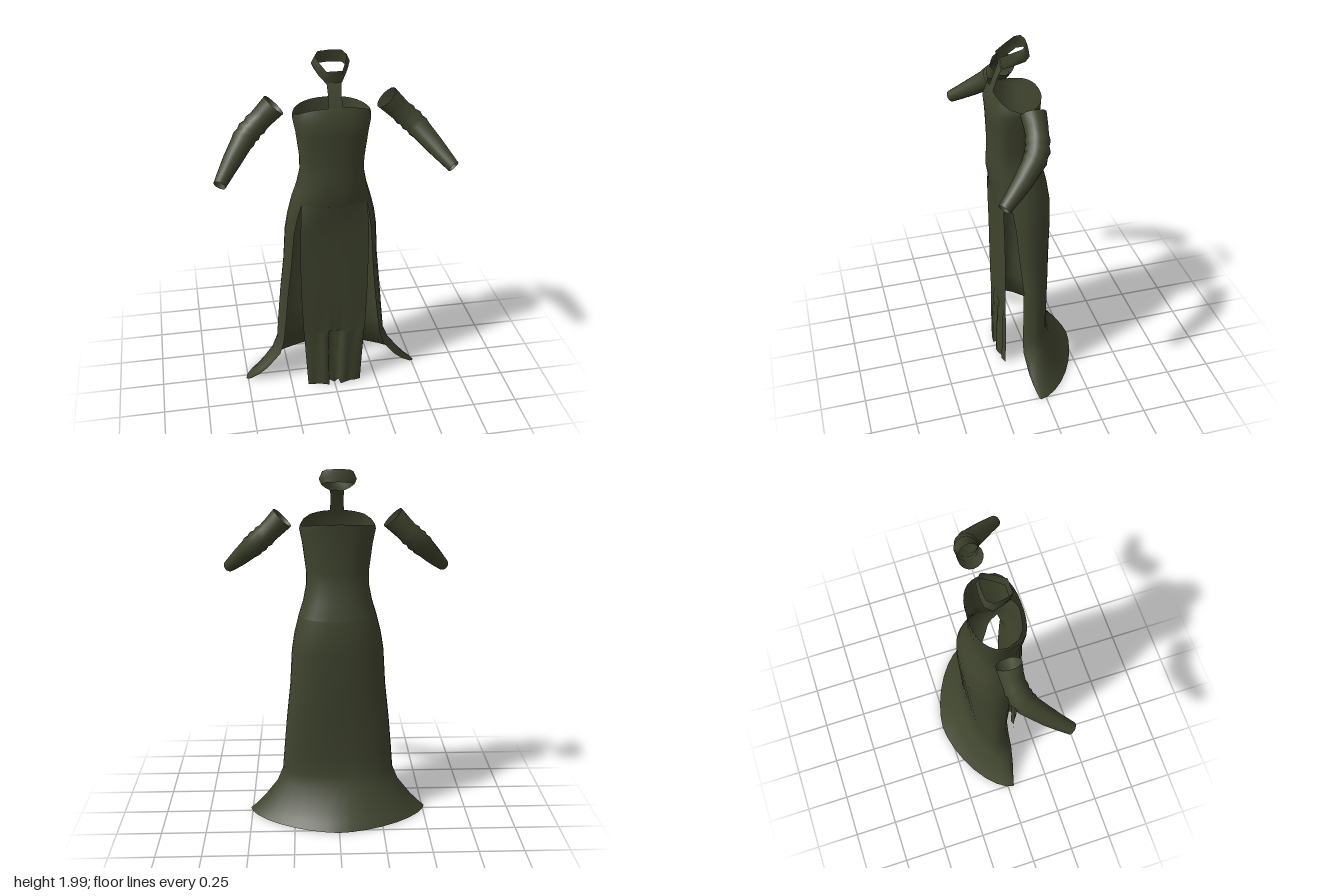
import * as THREE from 'three';

const fabric = new THREE.MeshStandardMaterial({ color: 0x3f442e, side: THREE.DoubleSide });
fabric.name = 'dark olive fabric';

// Skin a surface over rows of points that all have the same count
function loft(name, rows, closed = false) {
  const n = rows[0].length, index = [];
  const cols = closed ? n : n - 1;
  for (let r = 0; r < rows.length - 1; r++) {
    for (let c = 0; c < cols; c++) {
      const a = r * n + c, b = r * n + (c + 1) % n;
      index.push(a, b, a + n, b, b + n, a + n);
    }
  }
  const geometry = new THREE.BufferGeometry().setFromPoints(rows.flat());
  geometry.setIndex(index);
  geometry.computeVertexNormals();
  const mesh = new THREE.Mesh(geometry, fabric);
  mesh.name = name;
  return mesh;
}

const V = (x, y, z) => new THREE.Vector3(x, y, z);
// Mirror half a section (ending on the centre line) across x = 0
const mirrored = half => [...half, ...half.slice(0, -1).reverse().map(p => V(-p.x, p.y, p.z))];
// Flattened bulge of the front, t from -1 to 1 across its width
const frontZ = (t, zf, zp) => zp + (zf - zp) * (1 - Math.abs(t) ** 2.6);

// Bodice sections: y, front edge x, centre front z, front edge z, half width, widest z, back z
const bodiceRows = [
  [1.73, 0.15, 0.165, 0.145, 0.202, 0.06, -0.085],
  [1.675, 0.16, 0.197, 0.165, 0.207, 0.06, -0.08],
  [1.6, 0.155, 0.19, 0.16, 0.192, 0.06, -0.075],
  [1.45, 0.14, 0.188, 0.15, 0.173, 0.06, -0.07],
  [1.37, 0.14, 0.19, 0.15, 0.172, 0.06, -0.078],
  [1.28, 0.155, 0.194, 0.15, 0.19, 0.05, -0.1],
  [1.2, 0.178, 0.18, 0.135, 0.215, 0.04, -0.12],
];
// Skirt back sections: y, slit edge x, slit edge z, half width, widest z, back z
const backRows = [
  [1.2, 0.178, 0.135, 0.215, 0.04, -0.12],
  [1.1, 0.198, 0.108, 0.24, 0.04, -0.135],
  [1.0, 0.215, 0.095, 0.256, 0.03, -0.135],
  [0.8, 0.23, 0.08, 0.268, 0.02, -0.125],
  [0.6, 0.25, 0.062, 0.29, 0.01, -0.115],
  [0.4, 0.27, 0.07, 0.308, 0.01, -0.105],
  [0.28, 0.285, 0.078, 0.318, 0.02, -0.11],
  [0.2, 0.31, 0.08, 0.35, 0.02, -0.135],
  [0.1, 0.385, 0.068, 0.425, 0.025, -0.2],
  [0.05, 0.435, 0.055, 0.47, 0.03, -0.245],
  [0.012, 0.49, 0.04, 0.512, 0.032, -0.282],
];
// Front panel sections: y, half width, centre z, edge z
const frontRows = [
  [1.2, 0.178, 0.18, 0.135],
  [1.1, 0.185, 0.165, 0.155],
  [1.0, 0.19, 0.157, 0.153],
  [0.8, 0.19, 0.157, 0.15],
  [0.6, 0.187, 0.155, 0.15],
  [0.38, 0.178, 0.152, 0.15],
  [0.36, 0.175, 0.156, 0.148],
  [0.18, 0.165, 0.168, 0.145],
  [0.01, 0.155, 0.172, 0.15],
];

// Half section from slit edge round the hip to the centre back; the hem is more angular
function backHalf(y, xe, ze, w, zw, zb) {
  const power = 0.85 + 0.4 * Math.max(0, 1 - y / 0.3);
  const half = [V(xe, y, ze), V((xe + w * 2) / 3, y, (ze * 2 + zw) / 3)];
  for (let i = 0; i <= 8; i++) {
    const a = i / 8 * Math.PI / 2;
    half.push(V(w * Math.max(0, Math.cos(a)) ** power, y, zw + (zb - zw) * Math.sin(a) ** power));
  }
  return half;
}

function makeBodice() {
  const rows = bodiceRows.map(([y, xp, zf, zp, w, zw, zb], r) => {
    const back = mirrored(backHalf(y, xp, zp, w, zw, zb));
    const front = [];
    for (let i = 1; i < 10; i++) {
      const t = i / 5 - 1;
      front.push(V(t * xp, y, frontZ(t, zf, zp)));
    }
    const ring = [...back, ...front];
    // neckline dips under the arms and sits highest at the front
    if (r === 0) ring.forEach(p => { p.y = 1.697 + (p.z > 0.05 ? 4.4 : 1.4) * (p.z - 0.05) ** 2; });
    return ring;
  });
  return loft('bodice', rows, true);
}

function makeFrontPanel() {
  const steps = [-1, -0.8, -0.62, -0.42, -0.22, -0.17, 0, 0.17, 0.22, 0.42, 0.62, 0.8, 1];
  const folds = [0, 0.006, -0.01, 0.005, 0.005, -0.032, -0.018];
  const rows = frontRows.map(([y, w, zf, zp]) => steps.map((t, i) => {
    // centre pleat and small folds near the hem
    const fold = y < 0.37 ? folds[Math.min(i, 12 - i)] : 0;
    const hem = y < 0.1 ? 0.008 * (i % 2) : 0;
    return V(t * w, y + hem, frontZ(t, zf, zp) + fold);
  }));
  return loft('skirtFrontPanel', rows);
}

// Collar ring tilted down to the front, with the strap to the bodice
function makeNeck() {
  const group = new THREE.Group();
  group.name = 'halter';
  const outline = [[0.04, 0.118], [0.078, 0.065], [0.1, 0.01], [0.062, -0.02], [0, -0.026]];
  const ring = (lift, shift, narrow) => {
    const half = outline.map(([x, z]) => V(x > 0.07 ? x * narrow : x, 1.87 + (0.118 - z) * 0.45 + lift, z + shift));
    return mirrored(half);
  };
  group.add(loft('collar', [ring(0.066, 0.012, 0.82), ring(0.028, 0.004, 1), ring(0, 0, 0.88)], true));
  group.add(loft('neckStrap', [[1.872, 0.118, 0.038], [1.81, 0.145, 0.034], [1.745, 0.167, 0.04]]
    .map(([y, z, w]) => [V(-w, y, z), V(w, y, z)])));
  return group;
}

// Open sleeve: rings swept along the arm, wrinkled at the elbow
function makeSleeve(name, side) {
  const path = new THREE.CatmullRomCurve3([
    V(0.295, 1.74, 0.028), V(0.37, 1.665, 0.03), V(0.445, 1.595, 0.055),
    V(0.53, 1.505, 0.15), V(0.607, 1.423, 0.26),
  ]);
  const radii = [[0, 0.066], [0.12, 0.061], [0.22, 0.058], [0.27, 0.064], [0.31, 0.057], [0.36, 0.065],
    [0.4, 0.057], [0.45, 0.062], [0.5, 0.056], [0.7, 0.049], [0.85, 0.041], [1, 0.033]];
  const rows = radii.map(([t, radius]) => {
    const centre = path.getPointAt(t), along = path.getTangentAt(t);
    const u = V(0, 0, 1).addScaledVector(along, -along.z).normalize();
    const v = along.clone().cross(u);
    return Array.from({ length: 16 }, (_, i) => {
      const a = i / 16 * Math.PI * 2;
      const p = centre.clone().addScaledVector(u, radius * Math.cos(a)).addScaledVector(v, radius * Math.sin(a));
      p.x *= side;
      return p;
    });
  });
  return loft(name, rows, true);
}

export function createModel() {
  const model = new THREE.Group();
  model.name = 'gown';
  model.add(makeBodice(), makeFrontPanel(), makeNeck());
  model.add(loft('skirtBack', backRows.map(row => mirrored(backHalf(...row)))));
  model.add(makeSleeve('leftSleeve', 1), makeSleeve('rightSleeve', -1));
  return model;
}
